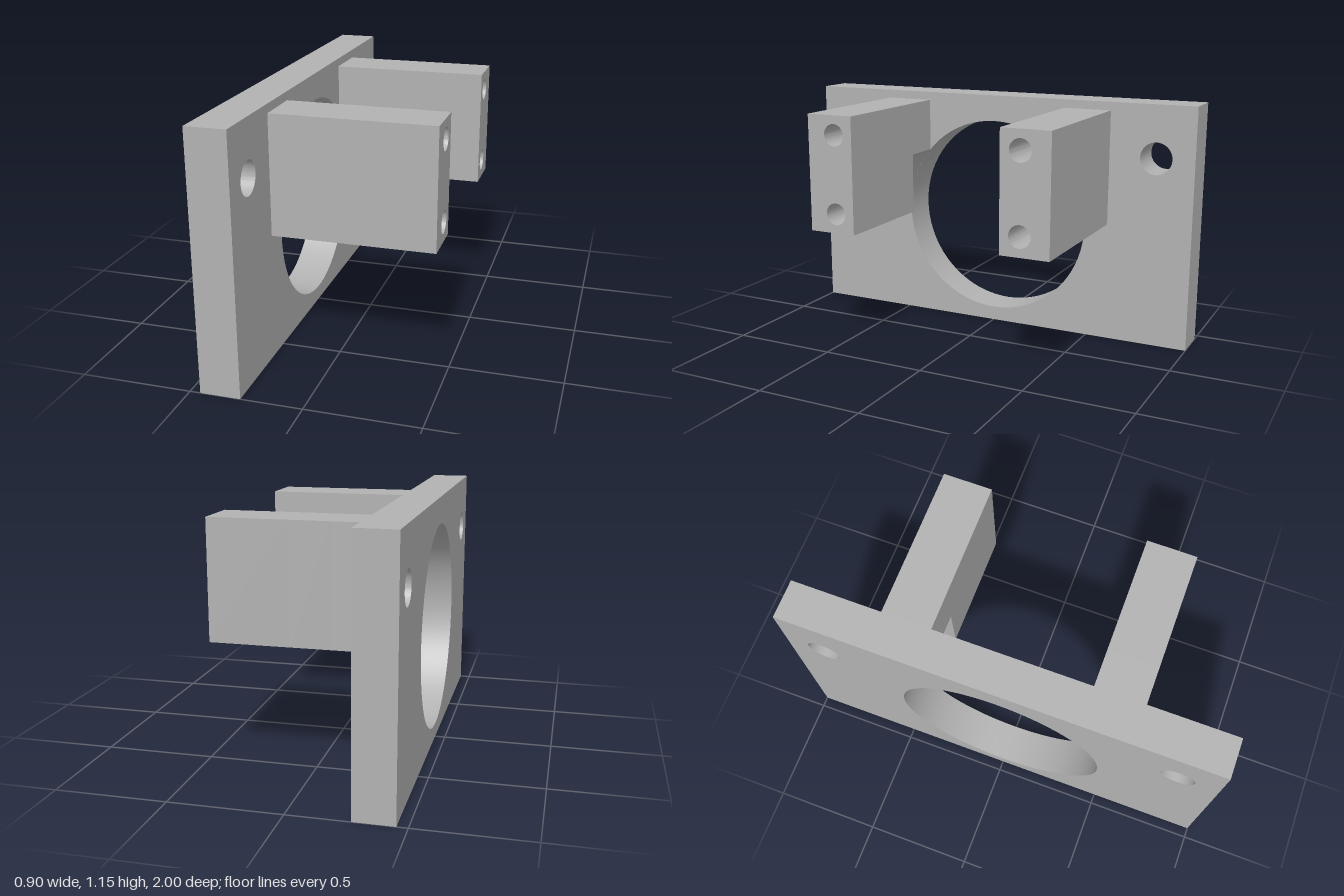
import * as THREE from 'three';
import { toCreasedNormals } from 'three/addons/utils/BufferGeometryUtils.js';

// Key x positions: plate back, plate front, end of bore relief, drill floor, arm tip
const X = { back: -0.453, plate: -0.273, relief: -0.091, drill: 0.09, tip: 0.452 };
const BORE = { y: 0.548, r: 0.48 };
const ARM = { inner: 0.364, outer: 0.594, bottom: 0.57, top: 1.114 };

const grey = new THREE.MeshStandardMaterial({ color: 0xb2b2b2 });
grey.name = 'grey metal';

function polygon(points) {
  return new THREE.Shape(points.map(([u, y]) => new THREE.Vector2(u, y)));
}

function rectangle(u0, u1, y0, y1) {
  return polygon([[u0, y0], [u1, y0], [u1, y1], [u0, y1]]);
}

function addHole(shape, u, y, r) {
  shape.holes.push(new THREE.Path().absarc(u, y, r, 0, Math.PI * 2, false));
}

// Extrudes a (-z, y) profile along x between x0 and x1
function extrudeX(name, shape, x0, x1) {
  let geometry = new THREE.ExtrudeGeometry(shape, { depth: x1 - x0, bevelEnabled: false, curveSegments: 36 });
  geometry.rotateY(Math.PI / 2).translate(x0, 0, 0);
  geometry = toCreasedNormals(geometry, 0.5);
  const mesh = new THREE.Mesh(geometry, grey);
  mesh.name = name;
  return mesh;
}

// Arm on one side (s = 1 or -1): relieved root, solid middle, drilled tip
function createArm(s) {
  const { inner, outer, bottom, top } = ARM;
  const arm = new THREE.Group();
  arm.name = s > 0 ? 'backArm' : 'frontArm';

  // The bore continues into the inner corner of the root
  const a0 = Math.acos(inner / BORE.r);
  const a1 = Math.asin((bottom - BORE.y) / BORE.r);
  const points = [[outer, bottom], [outer, top], [inner, top]];
  for (let i = 0; i <= 20; i++) {
    const a = a0 + (a1 - a0) * i / 20;
    points.push([BORE.r * Math.cos(a), BORE.y + BORE.r * Math.sin(a)]);
  }
  const root = polygon(points.map(([u, y]) => [s * u, y]));
  arm.add(extrudeX('armRoot', root, X.plate, X.relief));

  const section = () => rectangle(s * inner, s * outer, bottom, top);
  arm.add(extrudeX('armMiddle', section(), X.relief, X.drill));

  // Two blind screw holes in the tip
  const tip = section();
  for (const y of [0.66, 1.024]) addHole(tip, s * 0.457, y, 0.051);
  arm.add(extrudeX('armTip', tip, X.drill, X.tip));
  return arm;
}

export function createModel() {
  const model = new THREE.Group();
  model.name = 'mountingBracket';

  // Plate with the large bore and two mounting holes
  const plate = rectangle(-1, 1, 0, 1.154);
  addHole(plate, 0, BORE.y, BORE.r);
  for (const s of [-1, 1]) addHole(plate, s * 0.818, 0.904, 0.076);
  model.add(extrudeX('plate', plate, X.back, X.plate));

  for (const s of [-1, 1]) model.add(createArm(s));
  return model;
}
